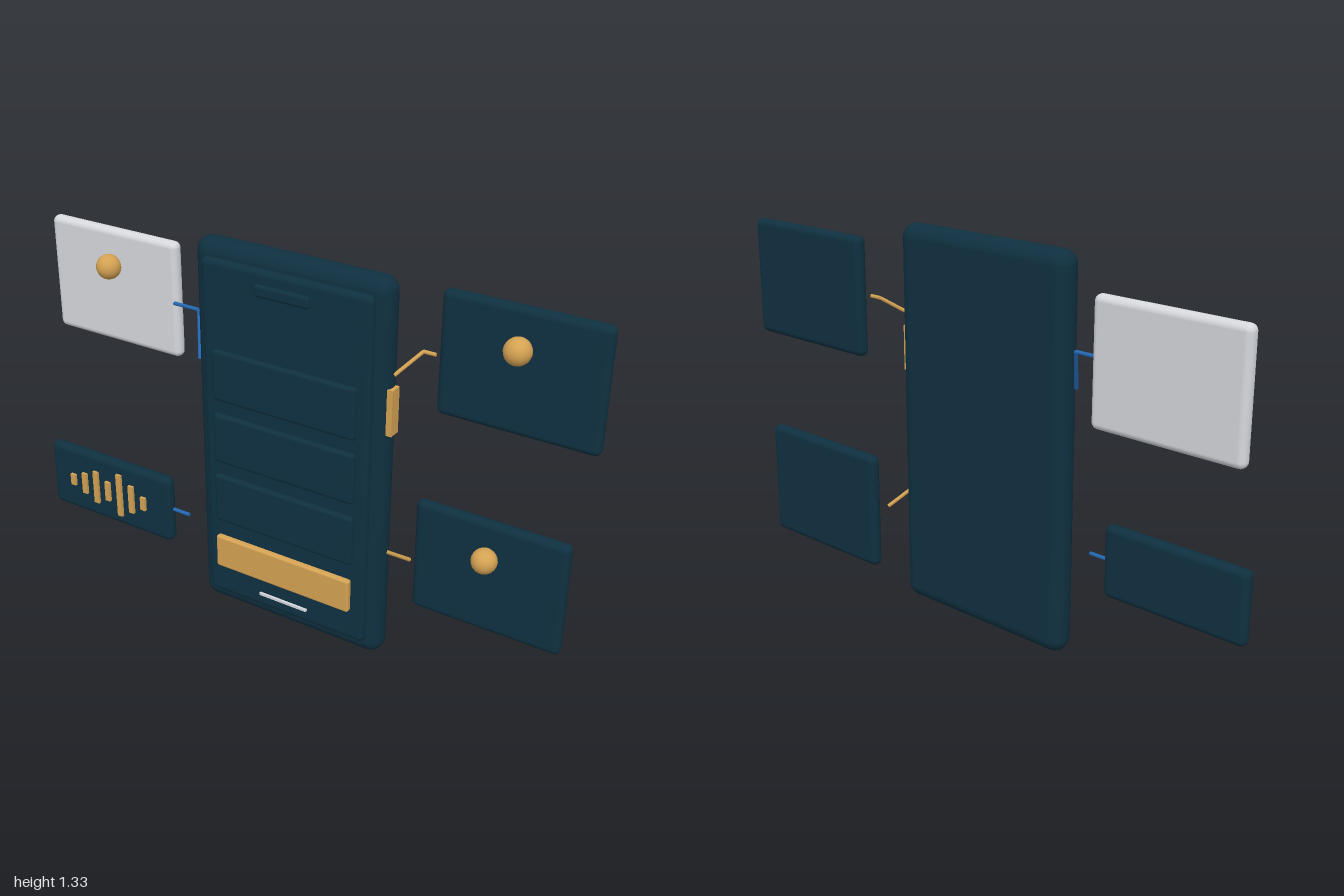
import * as THREE from 'three';
import { RoundedBoxGeometry } from 'three/addons/geometries/RoundedBoxGeometry.js';

export function createModel() {
  const model = new THREE.Group();
  model.name = 'phoneWithPanels';

  const navy = new THREE.MeshStandardMaterial({ color: 0x0f3040 });
  navy.name = 'navy';
  const gold = new THREE.MeshStandardMaterial({ color: 0xd4a253 });
  gold.name = 'gold';
  const silver = new THREE.MeshStandardMaterial({ color: 0xd6d8dc });
  silver.name = 'silver';
  const blue = new THREE.MeshStandardMaterial({ color: 0x2469b4 });
  blue.name = 'blue';

  function add(name, geometry, material, x = 0, y = 0, z = 0) {
    const mesh = new THREE.Mesh(geometry, material);
    mesh.name = name;
    mesh.position.set(x, y, z);
    model.add(mesh);
    return mesh;
  }

  // Rounded slab given by its extents on each axis
  function slab(name, material, [x0, x1], [y0, y1], [z0, z1], radius) {
    const geometry = new RoundedBoxGeometry(x1 - x0, y1 - y0, z1 - z0, 4, radius);
    return add(name, geometry, material, (x0 + x1) / 2, (y0 + y1) / 2, (z0 + z1) / 2);
  }

  // Thin bent rod through the given points
  function connector(name, material, points) {
    const path = new THREE.CurvePath();
    const v = points.map((p) => new THREE.Vector3(...p));
    for (let i = 1; i < v.length; i++) {
      const length = v[i].distanceTo(v[i - 1]);
      const rod = add(name, new THREE.CylinderGeometry(0.0065, 0.0065, length, 8), material);
      rod.position.copy(v[i]).add(v[i - 1]).multiplyScalar(0.5);
      rod.quaternion.setFromUnitVectors(
        new THREE.Vector3(0, 1, 0), v[i].clone().sub(v[i - 1]).normalize());
    }
  }

  // Phone body and raised screen
  slab('phoneBody', navy, [-0.325, 0.378], [0, 1.333], [-0.027, 0.07], 0.048);
  slab('screen', navy, [-0.28, 0.335], [0.055, 1.283], [0.045, 0.091], 0.02);
  slab('earpiece', navy, [-0.073, 0.125], [1.2, 1.24], [0.082, 0.104], 0.01);

  // Tiles on the screen
  for (let i = 0; i < 3; i++) {
    const y = 0.896 - i * 0.2265;
    slab('screenTile', navy, [-0.238, 0.293], [y - 0.089, y + 0.089], [0.08, 0.106], 0.012);
  }
  slab('actionButton', gold, [-0.235, 0.287], [0.173, 0.294], [0.085, 0.11], 0.008);
  add('homeLine', new THREE.BoxGeometry(0.187, 0.009, 0.01), silver, 0.027, 0.11, 0.094);
  add('sideButton', new THREE.BoxGeometry(0.04, 0.155, 0.042), gold, 0.37, 0.905, 0.027);

  // Floating panels, each with a ball on its face
  const panels = [
    { name: 'upperRightPanel', mat: silver, x: -0.736, y: 1.041, z: -0.057, bx: -0.738, by: 1.12 },
    { name: 'upperLeftPanel', mat: navy, x: 0.735, y: 1.081, z: -0.096, bx: 0.732, by: 1.16 },
    { name: 'lowerLeftPanel', mat: navy, x: 0.675, y: 0.335, z: -0.117, bx: 0.673, by: 0.415 },
  ];
  for (const { name, mat, x, y, z, bx, by } of panels) {
    slab(name, mat, [x - 0.264, x + 0.264], [y - 0.204, y + 0.204], [z - 0.023, z + 0.023], 0.022);
    add(name + 'Ball', new THREE.SphereGeometry(0.043, 18, 12), gold, bx, by, z + 0.044);
  }

  // Sound panel with level bars
  slab('soundPanel', navy, [-0.942, -0.413], [0.211, 0.461], [0.086, 0.132], 0.022);
  [0.043, 0.08, 0.125, 0.075, 0.165, 0.107, 0.05].forEach((h, i) => {
    add('soundBar', new THREE.BoxGeometry(0.021, h, 0.018), gold, -0.84 + i * 0.0525, 0.337, 0.133);
  });

  // Connectors between phone and panels
  connector('upperRightConnector', blue,
    [[-0.476, 1.043, -0.025], [-0.375, 1.043, -0.025], [-0.328, 0.904, 0.04]]);
  connector('lowerRightConnector', blue, [[-0.42, 0.337, 0.107], [-0.347, 0.337, 0.107]]);
  connector('upperLeftConnector', gold,
    [[0.378, 1.022, 0.022], [0.43, 1.081, -0.06], [0.472, 1.081, -0.06]]);
  connector('lowerLeftConnector', gold, [[0.376, 0.396, 0.022], [0.42, 0.337, -0.058]]);

  return model;
}
